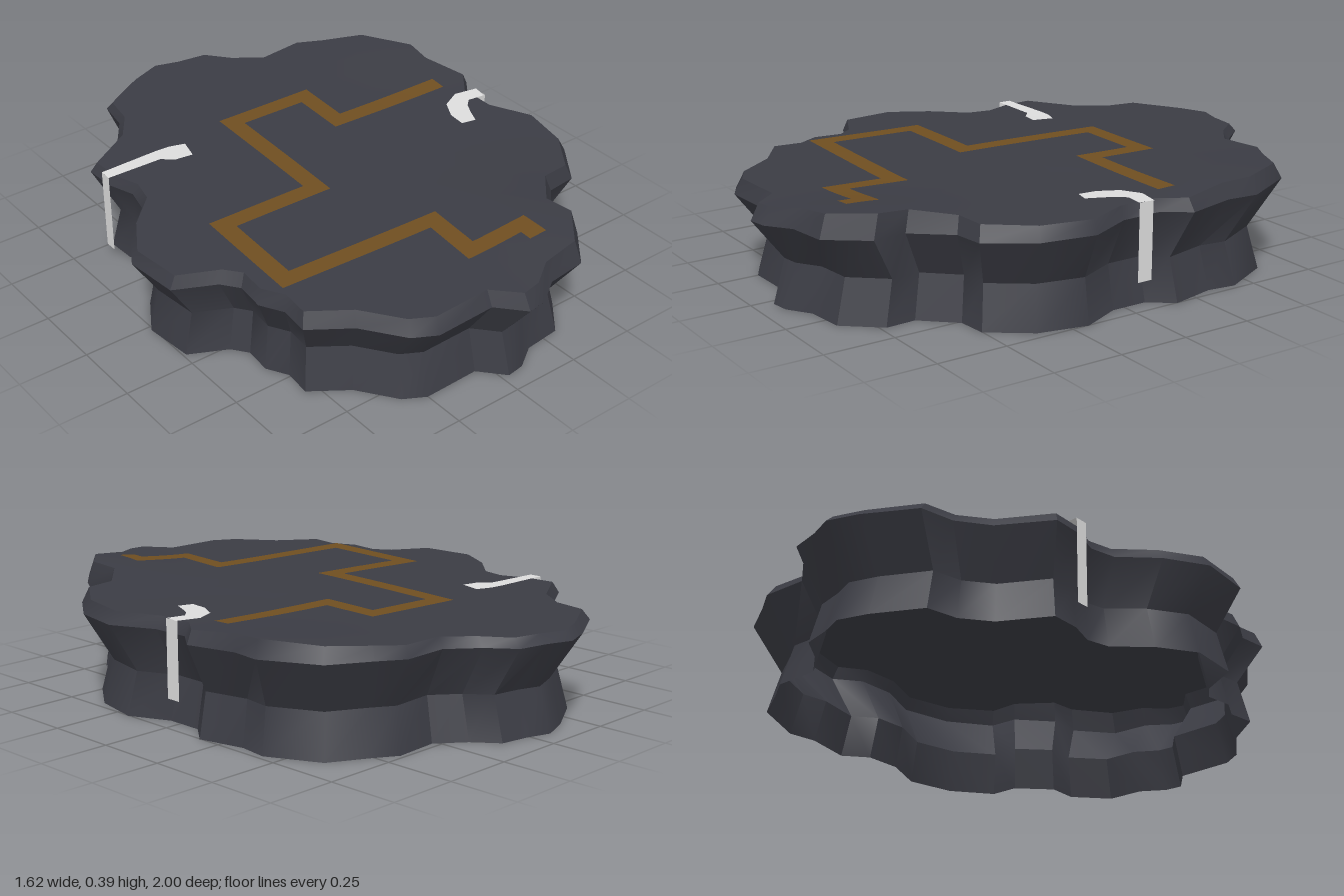
import * as THREE from 'three';
import { toCreasedNormals } from 'three/addons/utils/BufferGeometryUtils.js';

const paint = (name, color) => {
  const m = new THREE.MeshStandardMaterial({ color, side: THREE.DoubleSide });
  m.name = name;
  return m;
};

// Rim outline (x, z), clockwise seen from above
const RIM = [
  [-.08, -1], [.01, -.97], [.12, -.95], [.19, -.86], [.29, -.78], [.46, -.79], [.55, -.735],
  [.69, -.66], [.785, -.465], [.77, -.355], [.81, -.18], [.74, -.09], [.74, .05], [.81, .205],
  [.77, .39], [.66, .54], [.55, .55], [.44, .67], [.445, .785], [.335, .915], [.19, .93],
  [.1, .99], [.03, 1], [-.05, .91], [-.27, .915], [-.35, .87], [-.45, .73], [-.585, .635],
  [-.575, .53], [-.62, .45], [-.61, .345], [-.655, .285], [-.795, .215], [-.815, .02],
  [-.73, -.12], [-.615, -.23], [-.595, -.32], [-.63, -.42], [-.635, -.53], [-.46, -.635],
  [-.385, -.74], [-.365, -.86], [-.19, -.96],
];

// Gently uneven height of the upper surface
const bump = (x, z, cx, cz, r) => Math.exp(-((x - cx) ** 2 + (z - cz) ** 2) / (r * r));
const ground = (x, z) => 0.353 + 0.015 * x
  + 0.027 * bump(x, z, 0.4, 0.8, 0.25) + 0.022 * bump(x, z, 0.75, -0.5, 0.25)
  + 0.003 * Math.sin(5 * x + 2) * Math.cos(4 * z);

// Skin stretched between scaled copies of the rim; each ring is [scale, height rule]
function loft(rings) {
  const pos = [], idx = [], n = RIM.length;
  for (const [s, y] of rings) {
    for (const [x, z] of RIM) pos.push(x * s, y(x * s, z * s), z * s);
  }
  for (let r = 0; r < rings.length - 1; r++) {
    for (let i = 0; i < n; i++) {
      const a = r * n + i, b = r * n + (i + 1) % n;
      idx.push(a, a + n, b, b, a + n, b + n);
    }
  }
  const g = new THREE.BufferGeometry();
  g.setAttribute('position', new THREE.Float32BufferAttribute(pos, 3));
  g.setIndex(idx);
  return toCreasedNormals(g, 0.65);
}

// Mitred strip lying on the ground; points are [x, z, width]
function ribbon(pts, lift) {
  const dir = (a, b) => new THREE.Vector2(b[0] - a[0], b[1] - a[1]).normalize();
  const sides = pts.map((p, i) => {
    const d1 = i > 0 ? dir(pts[i - 1], p) : dir(p, pts[1]);
    const d2 = i < pts.length - 1 ? dir(p, pts[i + 1]) : d1;
    const k = p[2] / 2 / (1 + d1.dot(d2));
    const ox = -(d1.y + d2.y) * k, oz = (d1.x + d2.x) * k;
    return [p[0] + ox, p[1] + oz, p[0] - ox, p[1] - oz];
  });
  const pos = [], idx = [], steps = 8;
  for (let i = 0; i < sides.length - 1; i++) {
    for (let s = i ? 1 : 0; s <= steps; s++) {
      const [ax, az, bx, bz] = sides[i].map((v, k) => THREE.MathUtils.lerp(v, sides[i + 1][k], s / steps));
      pos.push(ax, ground(ax, az) + lift, az, bx, ground(bx, bz) + lift, bz);
    }
  }
  for (let i = 0; i < pos.length / 3 - 2; i += 2) idx.push(i, i + 2, i + 1, i + 1, i + 2, i + 3);
  const g = new THREE.BufferGeometry();
  g.setAttribute('position', new THREE.Float32BufferAttribute(pos, 3));
  g.setIndex(idx);
  g.computeVertexNormals();
  return g;
}

export function createModel() {
  const model = new THREE.Group();
  model.name = 'rockIsland';
  const rock = paint('dark rock', 0x3b3c44);
  const trail = paint('brown trail', 0x6f4e20);
  const water = paint('pale water', 0xdcdcdc);
  const add = (name, geometry, material, parent = model) => {
    const mesh = new THREE.Mesh(geometry, material);
    mesh.name = name;
    parent.add(mesh);
    return mesh;
  };

  // Open-bottomed cliff with a pinched waist and bevelled lip
  const lip = (x, z) => 0.31 + 0.015 * x - 0.012 * z;
  add('cliffWall', loft([
    [0.93, () => 0], [0.885, () => 0.15], [1, lip], [0.97, ground],
  ]), rock);

  // Upper surface
  add('plateau', loft([0.97, 0.88, 0.78, 0.66, 0.52, 0.38, 0.22, 0.001].map((s) => [s, ground])), rock);

  // Zigzag trail
  const route = [
    [.665, -.18], [.21, -.205], [.22, -.42], [-.095, -.435], [-.12, .1], [-.495, .08],
    [-.515, .455], [.065, .49], [.045, .7], [.26, .71], [.255, .79],
  ];
  add('trail', ribbon(route.map(([x, z]) => [x, z, 0.066]), 0.006), trail);

  // Two streams running over the edge as waterfalls
  const streams = [
    { name: 'leftStream', course: [[.575, .095, .055], [.59, .035, .075], [.62, -.02, .075], [.67, -.05, .06], [.746, -.035, .055]], bottom: 0.1 },
    { name: 'rightStream', course: [[-.32, -.38, .08], [-.38, -.395, .09], [-.43, -.415, .055], [-.64, -.42, .045]], bottom: 0.05 },
  ];
  for (const { name, course, bottom } of streams) {
    const group = new THREE.Group();
    group.name = name;
    model.add(group);
    add('streamBed', ribbon(course, 0.006), water, group);
    const [x, z, width] = course[course.length - 1];
    const top = ground(x, z) + 0.006;
    const fall = add('waterfall', new THREE.PlaneGeometry(width, top - bottom), water, group);
    fall.position.set(x, (top + bottom) / 2, z);
    fall.rotation.y = Math.sign(x) * Math.PI / 2;
  }
  return model;
}
